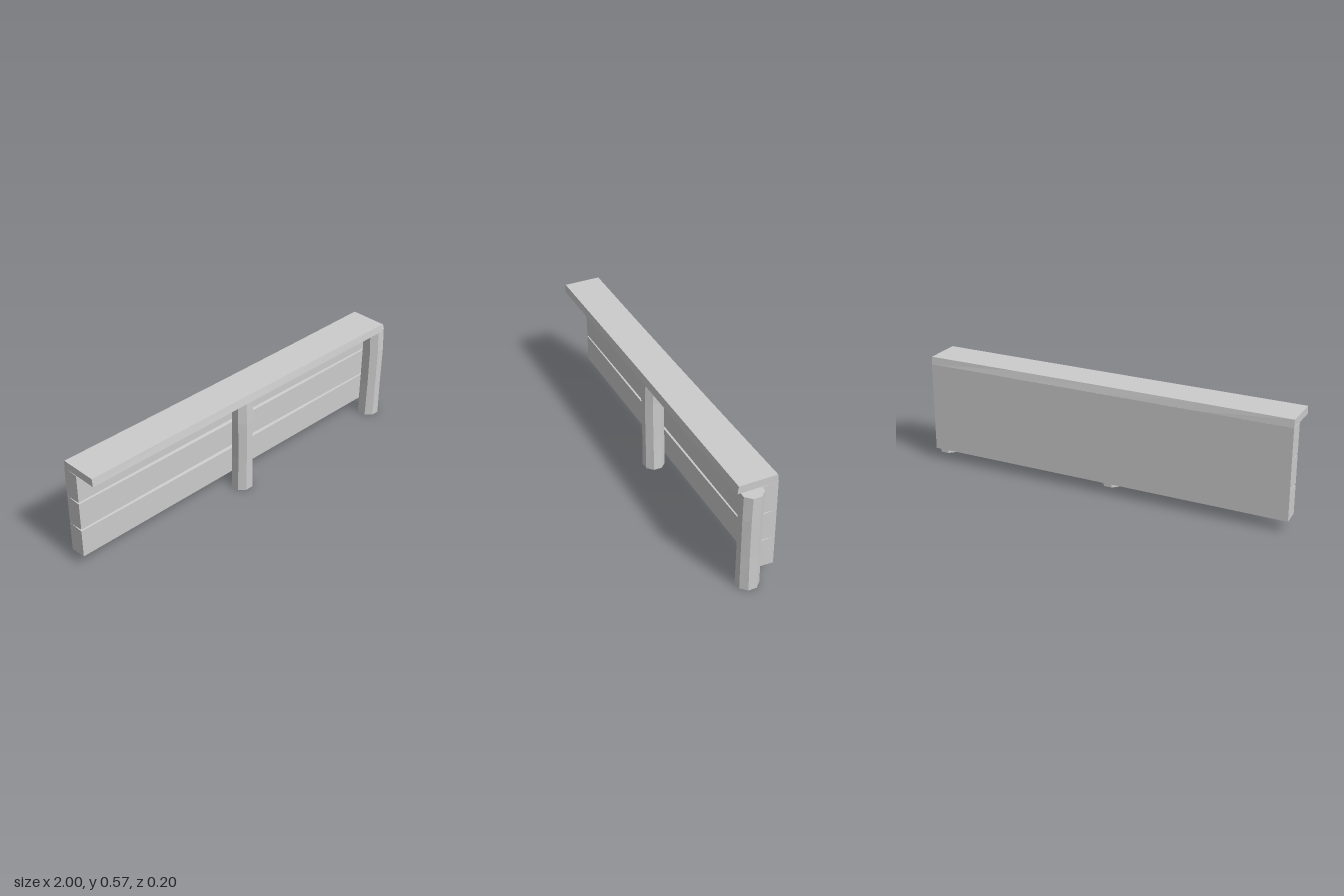
import * as THREE from 'three';

const LEFT = -1, RIGHT = 0.94;
const material = new THREE.MeshStandardMaterial({ color: 0xcccccc, flatShading: true });

// Extrudes a [z, y] outline along x, then lets a rule move its vertices.
function beam(name, outline, steps, rule) {
  const shape = new THREE.Shape(outline.map(([z, y]) => new THREE.Vector2(-z, y)));
  const geometry = new THREE.ExtrudeGeometry(shape, { depth: RIGHT - LEFT, steps, bevelEnabled: false });
  geometry.rotateY(Math.PI / 2).translate(LEFT, 0, 0);
  return finish(name, geometry, rule);
}

function finish(name, geometry, rule) {
  const pos = geometry.attributes.position;
  const p = new THREE.Vector3();
  for (let i = 0; i < pos.count; i++) {
    p.fromBufferAttribute(pos, i);
    rule(p);
    pos.setXYZ(i, p.x, p.y, p.z);
  }
  geometry.computeVertexNormals();
  const mesh = new THREE.Mesh(geometry, material);
  mesh.name = name;
  return mesh;
}

// Eight-sided post with a slightly uneven, hand-hewn outline
function post(name, x, phase) {
  const height = 0.527;
  const rings = [0, 0.19, 0.4, height];
  const width = [1, 0.92, 0.95, 1];
  const lean = [0, 0.001, 0.003, 0];
  const geometry = new THREE.CylinderGeometry(0.056, 0.056, height, 8, 3, false, Math.PI / 8);
  geometry.translate(0, height / 2, 0);
  const mesh = finish(name, geometry, (p) => {
    const ring = Math.round((p.y / height) * 3);
    p.x = p.x * width[ring] + lean[ring] * phase;
    p.z += lean[ring];
    p.y = rings[ring];
  });
  mesh.position.set(x, 0, 0.035);
  return mesh;
}

export function createModel() {
  const group = new THREE.Group();
  group.name = 'plankFence';

  // Three planks with V-shaped gaps that share one flat back
  const front = -0.017, back = -0.1, gapDepth = -0.095;
  const gaps = [0.217, 0.371];
  const outline = [[back, 0.06], [front, 0.065]];
  for (const y of gaps) outline.push([front, y - 0.005], [gapDepth, y], [front, y + 0.005]);
  outline.push([front, 0.523], [gapDepth, 0.528], [back, 0.528]);
  group.add(beam('planks', outline, 4, (p) => {
    // Gaps open up a little towards the middle of each plank
    const gap = gaps.find((y) => Math.abs(p.y - y) < 0.01);
    if (gap === undefined || p.z < -0.05) return;
    const spread = 1 + 0.9 * Math.sin(Math.PI * (p.x - LEFT) / (RIGHT - LEFT));
    p.y = gap + (p.y - gap) * spread;
  }));

  // Cap rail with sloping long sides
  const cap = [[-0.1, 0.527], [0.102, 0.527], [0.097, 0.567], [-0.095, 0.567]];
  group.add(beam('capRail', cap, 4, (p) => {
    const middle = Math.sin(Math.PI * (p.x - LEFT) / (RIGHT - LEFT));
    if (p.y > 0.55) p.z += (p.z < 0 ? 0.004 : -0.002) * middle;
  }));

  // Posts
  group.add(post('middlePost', -0.03, -1), post('endPost', 0.946, 1));
  return group;
}
